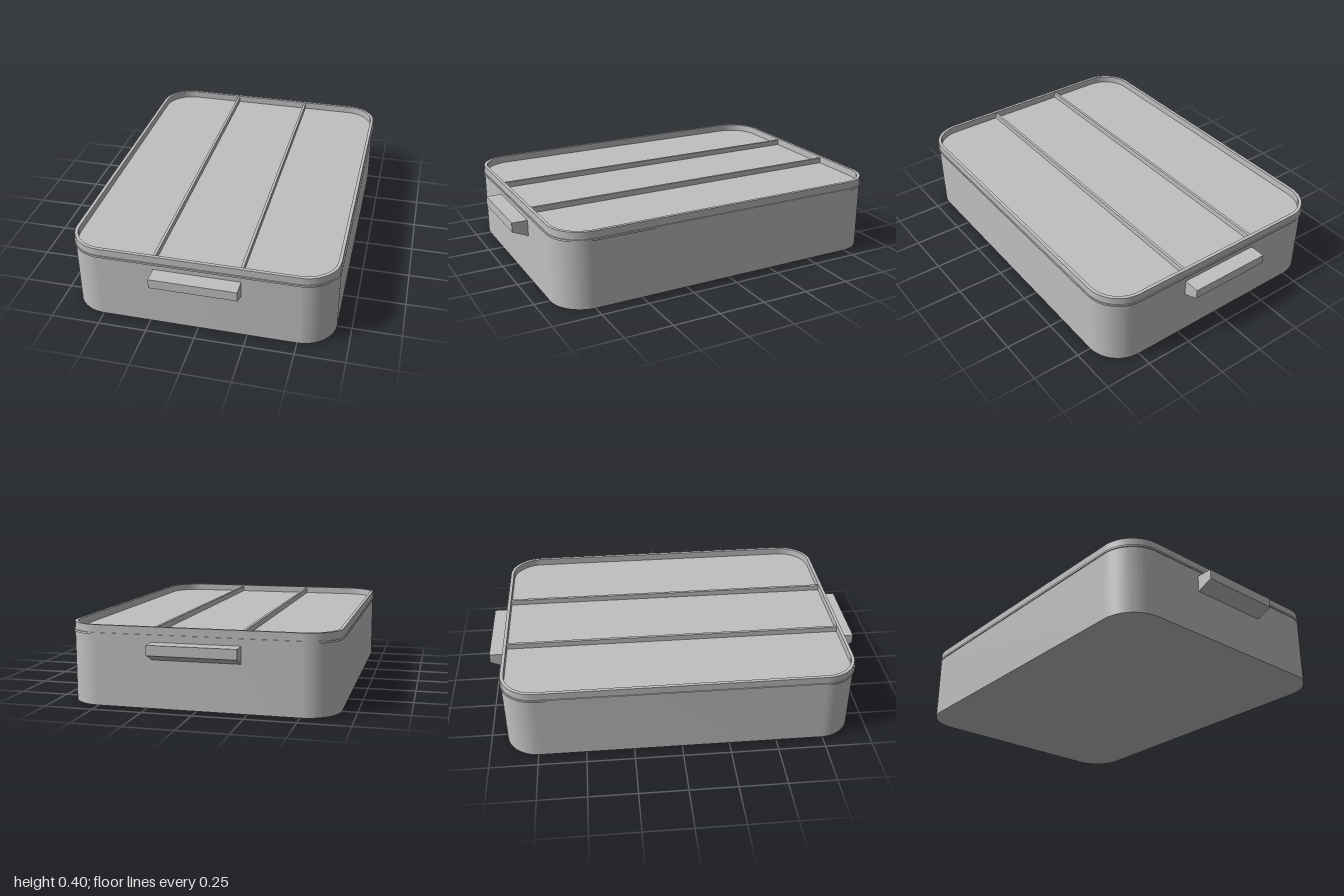
import * as THREE from 'three';
import { toCreasedNormals } from 'three/addons/utils/BufferGeometryUtils.js';

const HALF_W = 0.675, HALF_D = 0.917, RADIUS = 0.175;

// Rounded rectangle outline, offset outwards by grow
function outline(target, grow) {
  const w = HALF_W + grow, d = HALF_D + grow, r = RADIUS + grow;
  target.moveTo(-w + r, -d);
  target.lineTo(w - r, -d);
  target.absarc(w - r, -d + r, r, -Math.PI / 2, 0);
  target.lineTo(w, d - r);
  target.absarc(w - r, d - r, r, 0, Math.PI / 2);
  target.lineTo(-w + r, d);
  target.absarc(-w + r, d - r, r, Math.PI / 2, Math.PI);
  target.lineTo(-w, -d + r);
  target.absarc(-w + r, -d + r, r, Math.PI, Math.PI * 1.5);
  return target;
}

// Upright slab between two heights, hollow when an inner offset is given
function slab(y0, y1, grow, inner) {
  const shape = outline(new THREE.Shape(), grow);
  if (inner !== undefined) shape.holes.push(outline(new THREE.Path(), inner));
  const geo = new THREE.ExtrudeGeometry(shape, { depth: y1 - y0, bevelEnabled: false, curveSegments: 16 });
  geo.rotateX(-Math.PI / 2);
  geo.translate(0, y0, 0);
  return toCreasedNormals(geo, 0.6);
}

export function createModel() {
  const group = new THREE.Group();
  const grey = new THREE.MeshStandardMaterial({ color: 0xc0c0c0 });
  grey.name = 'light grey';

  const add = (name, geo) => {
    const mesh = new THREE.Mesh(geo, grey);
    mesh.name = name;
    group.add(mesh);
    return mesh;
  };

  // Box body with its recessed top panel, raised rim and thin seam band
  add('body', slab(0, 0.362, 0));
  add('rim', slab(0.362, 0.4, 0, -0.017));
  add('seamBand', slab(0.352, 0.362, 0.005, -0.005));

  // Two ribs dividing the top panel lengthwise
  for (const side of [-1, 1]) {
    const rib = add(side > 0 ? 'leftRib' : 'rightRib', new THREE.BoxGeometry(0.014, 0.03, 1.81));
    rib.position.set(side * 0.218, 0.376, 0);
  }

  // Wedge grips at both ends, sloping underneath
  const profile = new THREE.Shape([
    new THREE.Vector2(0.91, 0.24), new THREE.Vector2(0.917, 0.24), new THREE.Vector2(1, 0.276),
    new THREE.Vector2(1, 0.326), new THREE.Vector2(0.91, 0.326),
  ]);
  const grip = new THREE.ExtrudeGeometry(profile, { depth: 0.44, bevelEnabled: false });
  grip.translate(0, 0, -0.22);
  grip.rotateY(-Math.PI / 2);
  add('frontHandle', grip);
  add('backHandle', grip).rotation.y = Math.PI;

  return group;
}
